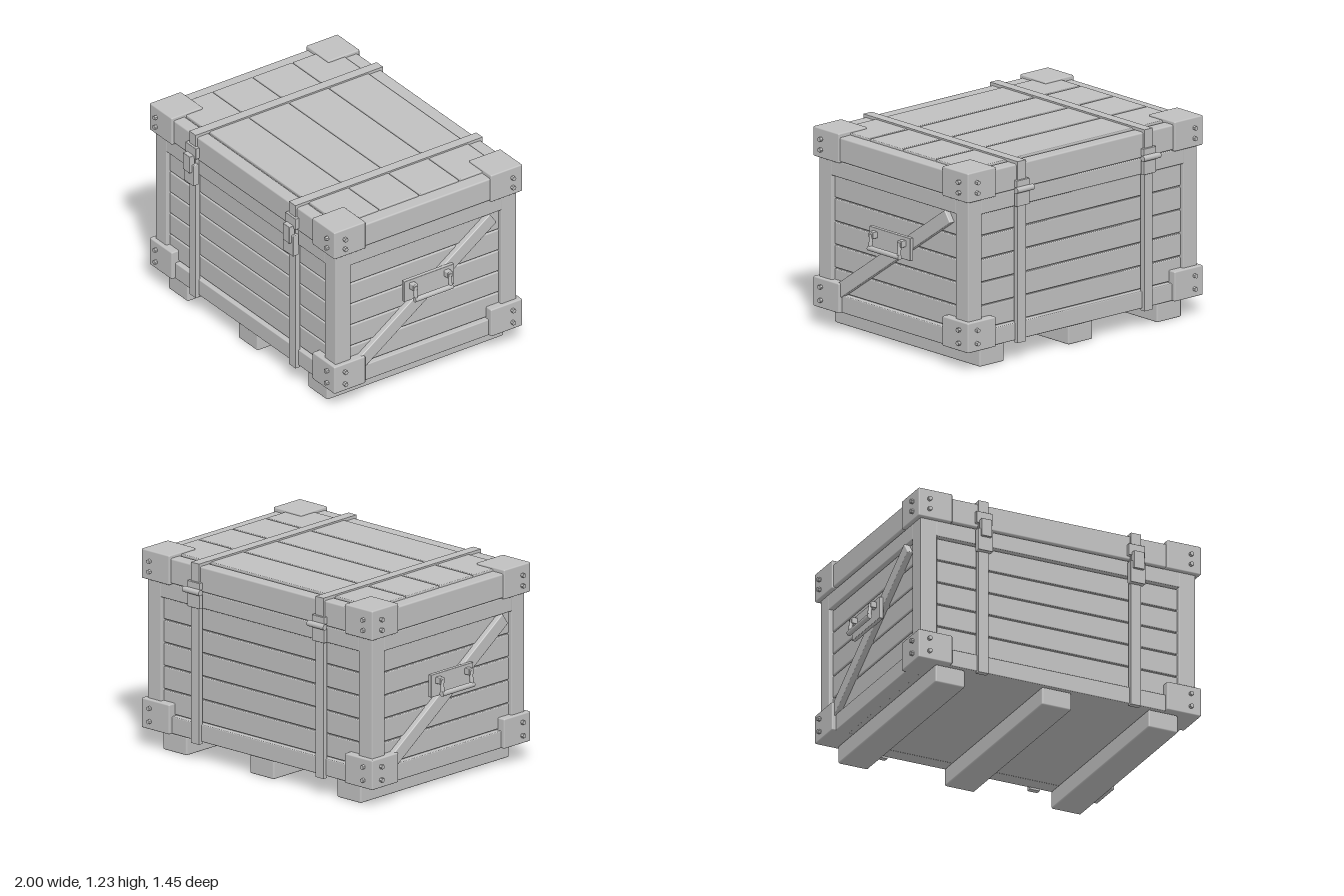
import * as THREE from 'three';
import { RoundedBoxGeometry } from 'three/addons/geometries/RoundedBoxGeometry.js';

export function createModel() {
  const model = new THREE.Group();
  model.name = 'crate';
  const grey = new THREE.MeshStandardMaterial({ color: 0xc0c0c0 });
  grey.name = 'plain grey';

  const add = (name, geometry, parent = model) => {
    const mesh = new THREE.Mesh(geometry, grey);
    mesh.name = name;
    parent.add(mesh);
    return mesh;
  };
  // Box given by its limits on each axis; r rounds the edges
  const box = (name, [x0, x1], [y0, y1], [z0, z1], r = 0.006, parent = model) => {
    const s = [x1 - x0, y1 - y0, z1 - z0];
    const g = r ? new RoundedBoxGeometry(...s, 2, r) : new THREE.BoxGeometry(...s);
    const mesh = add(name, g, parent);
    mesh.position.set((x0 + x1) / 2, (y0 + y1) / 2, (z0 + z1) / 2);
    return mesh;
  };
  // Limits of a span mirrored to the given side
  const side = (s, a, b) => (s > 0 ? [a, b] : [-b, -a]);
  const SIDES = [-1, 1];

  // Inner cores, seen in the grooves between planks
  box('bodyCore', [-0.87, 0.87], [0.12, 1.05], [-0.62, 0.62], 0);
  box('lidCore', [-0.85, 0.85], [1.04, 1.195], [-0.6, 0.6], 0);

  // Skids under the crate
  for (const x of [-0.705, 0, 0.705]) {
    box('skid', [x - 0.097, x + 0.097], [0, 0.115], [-0.643, 0.643], 0.01);
  }

  // Body frame: corner posts and rails
  for (const s of SIDES) {
    for (const t of SIDES) {
      box('cornerPost', side(s, 0.8, 0.91), [0.118, 1.045], side(t, 0.548, 0.66));
    }
    for (const [y0, y1] of [[0.118, 0.225], [0.945, 1.045]]) {
      box('longRail', [-0.805, 0.805], [y0, y1], side(s, 0.56, 0.66));
      box('endRail', side(s, 0.82, 0.91), [y0, y1], [-0.553, 0.553]);
    }
  }

  // Recessed wall planks
  const pitch = 0.1436;
  for (let i = 0; i < 5; i++) {
    const y = [0.227 + i * pitch + 0.004, 0.227 + (i + 1) * pitch - 0.004];
    for (const s of SIDES) {
      box('longWallPlank', [-0.803, 0.803], y, side(s, 0.59, 0.635));
      box('endWallPlank', side(s, 0.84, 0.885), y, [-0.551, 0.551]);
    }
  }

  // Lid frame and top planks
  for (const s of SIDES) {
    box('lidLongRail', [-0.92, 0.92], [1.05, 1.205], side(s, 0.587, 0.67), 0.01);
    box('lidEndRail', side(s, 0.82, 0.925), [1.05, 1.2], [-0.6, 0.6], 0.01);
  }
  for (let i = 0; i < 4; i++) {
    const z = -0.583 + i * 0.2915;
    box('lidPlank', [-0.843, 0.843], [1.16, 1.213], [z + 0.004, z + 0.2875]);
  }

  // Corner caps, with hexagonal bolts on both outer faces
  const boltShape = new THREE.CylinderGeometry(0.014, 0.014, 0.03, 6).toNonIndexed();
  boltShape.computeVertexNormals();
  for (const s of SIDES) {
    for (const t of SIDES) {
      for (const [y0, y1, bolts] of [[0.118, 0.302, [0.168, 0.25]], [1.042, 1.225, [1.095, 1.16]]]) {
        box('cornerCap', side(s, 0.71, 0.935), [y0, y1], side(t, 0.457, 0.686), 0.008);
        for (const y of bolts) {
          const a = add('bolt', boltShape);
          a.rotation.x = Math.PI / 2;
          a.position.set(s * 0.866, y, t * 0.69);
          const b = add('bolt', boltShape);
          b.rotation.z = Math.PI / 2;
          b.position.set(s * 0.94, y, t * 0.612);
        }
      }
    }
  }

  // Straps with a front latch and a rear hinge
  for (const s of SIDES) {
    const x = s * 0.504;
    const wide = (w) => [x - w / 2, x + w / 2];
    box('strapTop', wide(0.065), [1.205, 1.223], [-0.683, 0.683], 0);
    for (const t of SIDES) {
      box('strapLeg', wide(0.065), [0.105, 1.223], side(t, 0.65, 0.683), 0);
    }
    box('latchUpperPlate', wide(0.107), [1.07, 1.145], [0.67, 0.698], 0.004);
    box('latchLowerPlate', wide(0.1), [0.89, 1.03], [0.67, 0.713], 0.005);
    box('latchLever', wide(0.068), [0.977, 1.09], [0.69, 0.729], 0.004);
    box('hingeUpperPlate', wide(0.1), [1.065, 1.11], [-0.697, -0.67], 0.003);
    box('hingeLowerPlate', wide(0.1), [0.95, 1.045], [-0.697, -0.67], 0.003);
    const pin = add('hingeBarrel', new THREE.CylinderGeometry(0.018, 0.018, 0.134, 16));
    pin.rotation.z = Math.PI / 2;
    pin.position.set(x, 1.055, -0.705);
  }

  // Each end: diagonal brace and drop handle; the far end is turned half round
  for (const turn of [0, Math.PI]) {
    const end = new THREE.Group();
    end.name = turn ? 'rightEndFittings' : 'leftEndFittings';
    end.rotation.y = turn;
    model.add(end);

    const brace = add('diagonalBrace', new RoundedBoxGeometry(0.045, 0.085, 1.18, 2, 0.006), end);
    brace.position.set(0.8975, 0.581, 0);
    brace.rotation.x = 0.605;

    box('handlePlate', [0.915, 0.942], [0.58, 0.72], [-0.182, 0.182], 0.004, end);
    for (const t of SIDES) {
      const z = t * 0.126;
      box('handleLug', [0.935, 0.98], [0.66, 0.7], [z - 0.019, z + 0.019], 0.005, end);
      const arm = add('handleArm', new THREE.CylinderGeometry(0.012, 0.012, 0.085, 12), end);
      arm.position.set(0.978, 0.645, z);
      arm.rotation.z = 0.12;
    }
    const grip = add('handleGrip', new THREE.CylinderGeometry(0.016, 0.016, 0.276, 16), end);
    grip.rotation.x = Math.PI / 2;
    grip.position.set(0.984, 0.602, 0);
  }
  return model;
}
